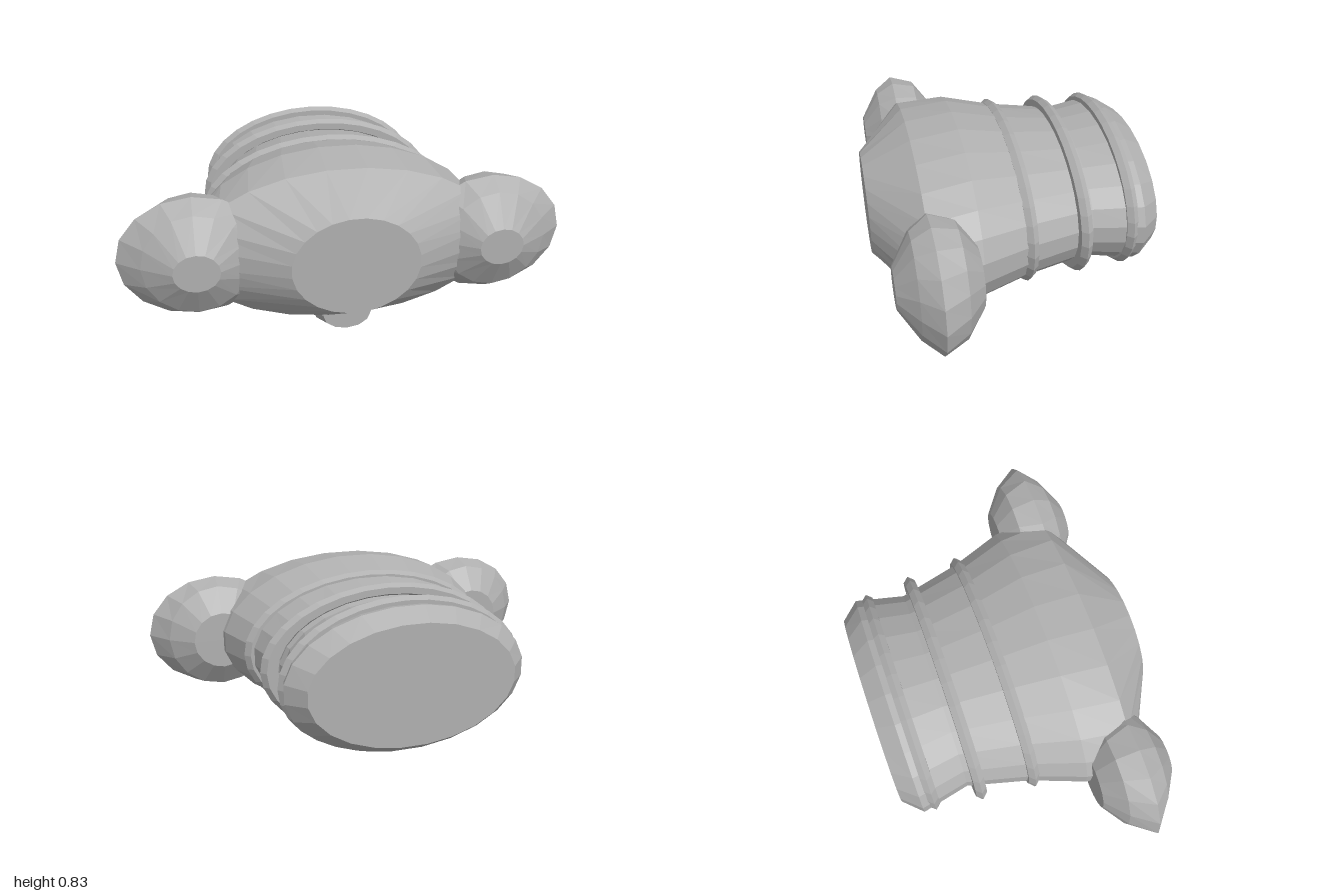
import * as THREE from 'three';

const AXIS_Y = 0.445;

// Closed loft along z. Sections run back to front: [z, radiusX, radiusY]
function loft(sections, sides, phase = 0) {
  const pos = [];
  const point = ([z, rx, ry], i) => {
    const a = ((i + phase) / sides) * Math.PI * 2;
    return [rx * Math.cos(a), ry * Math.sin(a), z];
  };
  const tri = (a, b, c) => pos.push(...a, ...b, ...c);
  const back = sections[0];
  const front = sections[sections.length - 1];
  for (let i = 0; i < sides; i++) {
    for (let s = 0; s < sections.length - 1; s++) {
      const b0 = point(sections[s], i), b1 = point(sections[s], i + 1);
      const f0 = point(sections[s + 1], i), f1 = point(sections[s + 1], i + 1);
      tri(b0, b1, f1);
      tri(b0, f1, f0);
    }
    tri([0, 0, back[0]], point(back, i + 1), point(back, i));
    tri([0, 0, front[0]], point(front, i), point(front, i + 1));
  }
  const geometry = new THREE.BufferGeometry();
  geometry.setAttribute('position', new THREE.Float32BufferAttribute(pos, 3));
  geometry.computeVertexNormals();
  return geometry;
}

export function createModel() {
  const group = new THREE.Group();
  const grey = new THREE.MeshStandardMaterial({ color: 0xb0b0b0, flatShading: true });
  grey.name = 'grey';

  const add = (name, geometry, x, y, z) => {
    const mesh = new THREE.Mesh(geometry, grey);
    mesh.name = name;
    mesh.position.set(x, y, z);
    group.add(mesh);
    return mesh;
  };

  // Flattened barrel body with a narrow waist towards the back
  add('body', loft([
    [-0.64, 0.47, 0.277],
    [-0.555, 0.55, 0.332],
    [-0.33, 0.5, 0.302],
    [-0.04, 0.575, 0.337],
    [0.2, 0.665, 0.387],
    [0.42, 0.7, 0.358],
    [0.64, 0.28, 0.222],
  ], 24, 0.5), 0, AXIS_Y, 0);

  // Raised bands around the rear half
  [[-0.03, 0.61], [-0.28, 0.587], [-0.5, 0.56]].forEach(([z, rx], i) => {
    const band = add(`band${i + 1}`, new THREE.TorusGeometry(0.328, 0.03, 6, 32), 0, AXIS_Y + 0.002, z);
    band.scale.x = rx / 0.358;
  });

  // Rounded pods on both sides
  const podGeometry = loft([
    [0.225, 0.14, 0.137],
    [0.307, 0.25, 0.252],
    [0.417, 0.335, 0.277],
    [0.5, 0.23, 0.226],
    [0.583, 0.1, 0.085],
  ], 16);
  add('leftPod', podGeometry, 0.665, AXIS_Y + 0.002, 0);
  add('rightPod', podGeometry, -0.665, AXIS_Y + 0.002, 0);

  // Small bump under the nose
  add('chinBump', loft([
    [0.305, 0.11, 0.073],
    [0.365, 0.15, 0.1],
    [0.445, 0.11, 0.073],
  ], 12), 0, 0.1, 0);

  return group;
}
